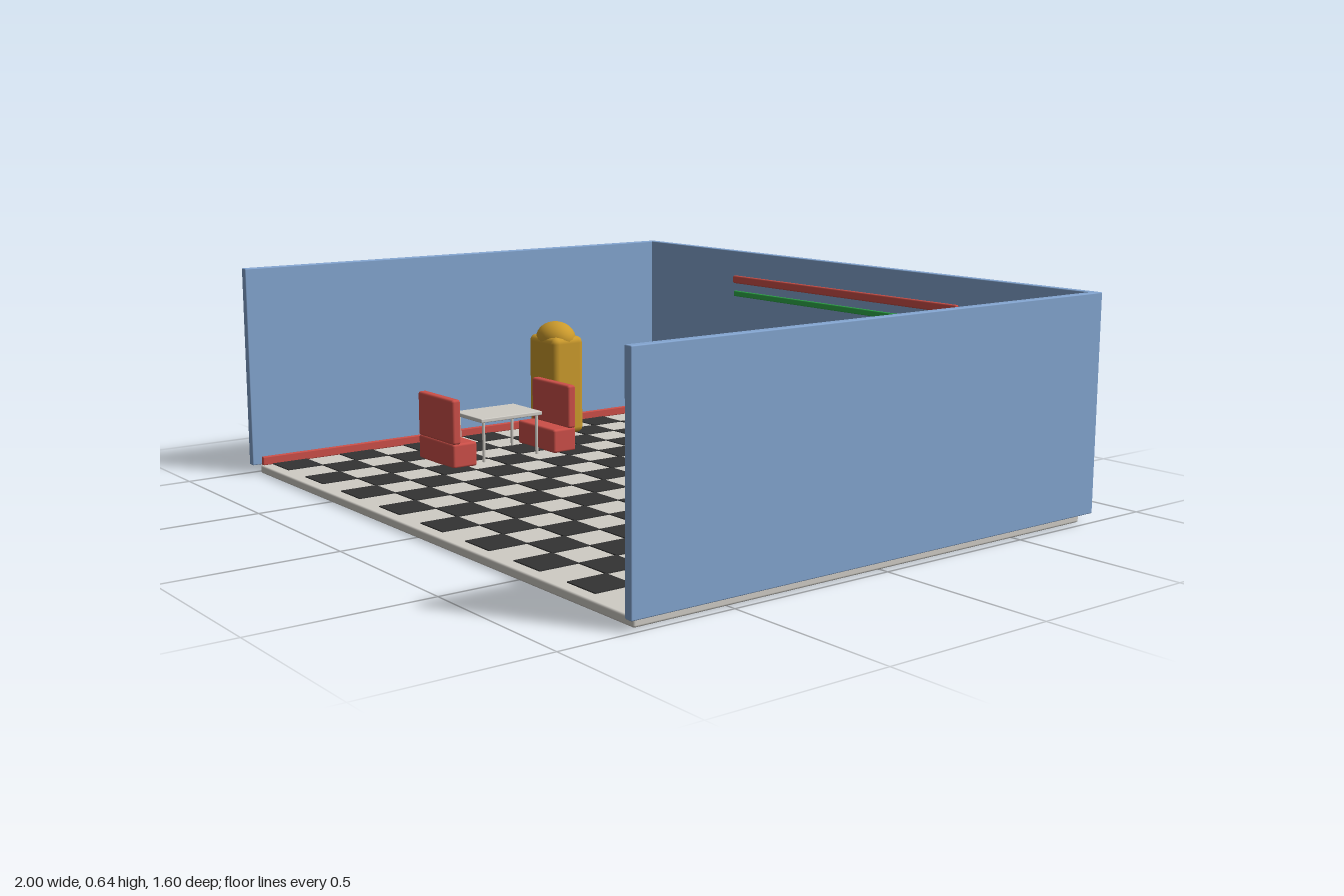
import * as THREE from 'three';
import { mergeGeometries } from 'three/addons/utils/BufferGeometryUtils.js';
import { RoundedBoxGeometry } from 'three/addons/geometries/RoundedBoxGeometry.js';

function mat(name, color) {
  const m = new THREE.MeshStandardMaterial({ color });
  m.name = name;
  return m;
}

export function createModel() {
  const root = new THREE.Group();
  root.name = 'diner';
  const cream = mat('cream', 0xcfccc5);
  const dark = mat('charcoal', 0x333333);
  const wallBlue = mat('wallBlue', 0x83a5d0);
  const counterBlue = mat('counterBlue', 0x4682c8);
  const red = mat('red', 0xcc4f48);
  const green = mat('green', 0x2fae4a);
  const gold = mat('gold', 0xcb9a2c);

  function add(parent, name, geometry, material) {
    const m = new THREE.Mesh(geometry, material);
    m.name = name;
    parent.add(m);
    return m;
  }
  // Box given by its limits on each axis, with slightly softened edges
  function box(parent, name, material, [x0, x1], [y0, y1], [z0, z1], r = 0.003) {
    const g = new RoundedBoxGeometry(x1 - x0, y1 - y0, z1 - z0, 2, r);
    g.translate((x0 + x1) / 2, (y0 + y1) / 2, (z0 + z1) / 2);
    return add(parent, name, g, material);
  }
  // Upright cylinder from y0 to y1
  function cyl(parent, name, material, rTop, rBottom, y0, y1, sides = 12) {
    const g = new THREE.CylinderGeometry(rTop, rBottom, y1 - y0, sides);
    g.translate(0, (y0 + y1) / 2, 0);
    return add(parent, name, g, material);
  }
  function group(name, x = 0, z = 0) {
    const g = new THREE.Group();
    g.name = name;
    g.position.set(x, 0, z);
    root.add(g);
    return g;
  }

  // Floor slab and chequered tiles
  box(root, 'floor', cream, [-0.975, 0.975], [0, 0.025], [-0.775, 0.775], 0.006);
  const tiles = [];
  const pitch = 0.1164;
  for (let r = 0; r < 13; r++) {
    for (let c = r % 2; c < 16; c += 2) {
      const t = new THREE.BoxGeometry(pitch, 0.005, pitch);
      t.translate(-0.97 + (c + 0.5) * pitch, 0.0255, -0.775 + (r + 0.5) * pitch);
      tiles.push(t);
    }
  }
  add(root, 'darkTiles', mergeGeometries(tiles), dark);

  // Walls and skirting
  box(root, 'backWall', wallBlue, [-1, 1], [0.027, 0.645], [-0.8, -0.775]);
  box(root, 'backSkirting', red, [-0.97, 0.97], [0.025, 0.052], [-0.778, -0.765]);
  for (const s of [-1, 1]) {
    const span = (a, b) => (s > 0 ? [a, b] : [-b, -a]);
    box(root, 'sideWall', wallBlue, span(0.975, 1), [0.027, 0.645], [-0.8, 0.8]);
    box(root, 'sideSkirting', red, span(0.963, 0.977), [0.025, 0.052], [-0.77, 0.77]);
  }

  // Light strips on the back wall
  box(root, 'redStrip', red, [-0.507, 0.507], [0.536, 0.562], [-0.777, -0.762], 0.005);
  box(root, 'greenStrip', green, [-0.507, 0.507], [0.491, 0.51], [-0.777, -0.766], 0.004);

  // Counter
  box(root, 'counterBody', counterBlue, [-0.547, 0.547], [0.025, 0.225], [-0.572, -0.45]);
  box(root, 'counterTop', cream, [-0.565, 0.565], [0.223, 0.239], [-0.592, -0.432]);

  // Stools
  for (let i = 0; i < 6; i++) {
    const stool = group('stool', -0.44 + i * 0.175, -0.381);
    cyl(stool, 'stoolBase', cream, 0.03, 0.032, 0.025, 0.034);
    cyl(stool, 'stoolPole', cream, 0.007, 0.007, 0.03, 0.148, 8);
    cyl(stool, 'stoolSeat', red, 0.032, 0.032, 0.145, 0.163, 10);
  }

  // Sundae cups on the counter
  for (const x of [-0.312, -0.12, 0.116, 0.308]) {
    const cup = group('sundae', x, -0.51);
    cyl(cup, 'cup', cream, 0.011, 0.008, 0.238, 0.275, 10);
    cyl(cup, 'topping', red, 0.011, 0.014, 0.275, 0.293, 10);
    cyl(cup, 'tip', red, 0.003, 0.009, 0.293, 0.307, 10);
  }

  // Mixer
  const mixer = group('mixer', 0.465, -0.51);
  cyl(mixer, 'mixerBase', cream, 0.017, 0.02, 0.238, 0.262, 14);
  cyl(mixer, 'mixerJug', wallBlue, 0.021, 0.015, 0.26, 0.323, 14);

  // Music cabinet with domed top
  const cabinet = group('musicCabinet', -0.862, -0.273);
  box(cabinet, 'cabinetBody', gold, [-0.081, 0.081], [0.025, 0.36], [-0.062, 0.062], 0.022);
  const dome = add(cabinet, 'cabinetDome', new THREE.SphereGeometry(1, 24, 16), gold);
  dome.scale.set(0.08, 0.058, 0.062);
  dome.position.y = 0.348;

  // Booths: a table between two facing benches on each side
  for (const s of [-1, 1]) {
    const booth = group('booth', s * 0.662, 0.092);
    for (const f of [-1, 1]) {
      const bench = new THREE.Group();
      bench.name = 'bench';
      bench.rotation.y = f > 0 ? 0 : Math.PI;
      booth.add(bench);
      box(bench, 'benchSeat', red, [-0.107, 0.107], [0.025, 0.103], [0.145, 0.232], 0.008);
      box(bench, 'benchBack', red, [-0.107, 0.107], [0.1, 0.242], [0.202, 0.232], 0.008);
    }
    box(booth, 'tableTop', cream, [-0.085, 0.085], [0.153, 0.166], [-0.115, 0.115]);
    for (const x of [-0.073, 0.073]) {
      for (const z of [-0.1, 0.1]) {
        cyl(booth, 'tableLeg', cream, 0.005, 0.005, 0.025, 0.155, 8).position.set(x, 0, z);
      }
    }
  }
  return root;
}
